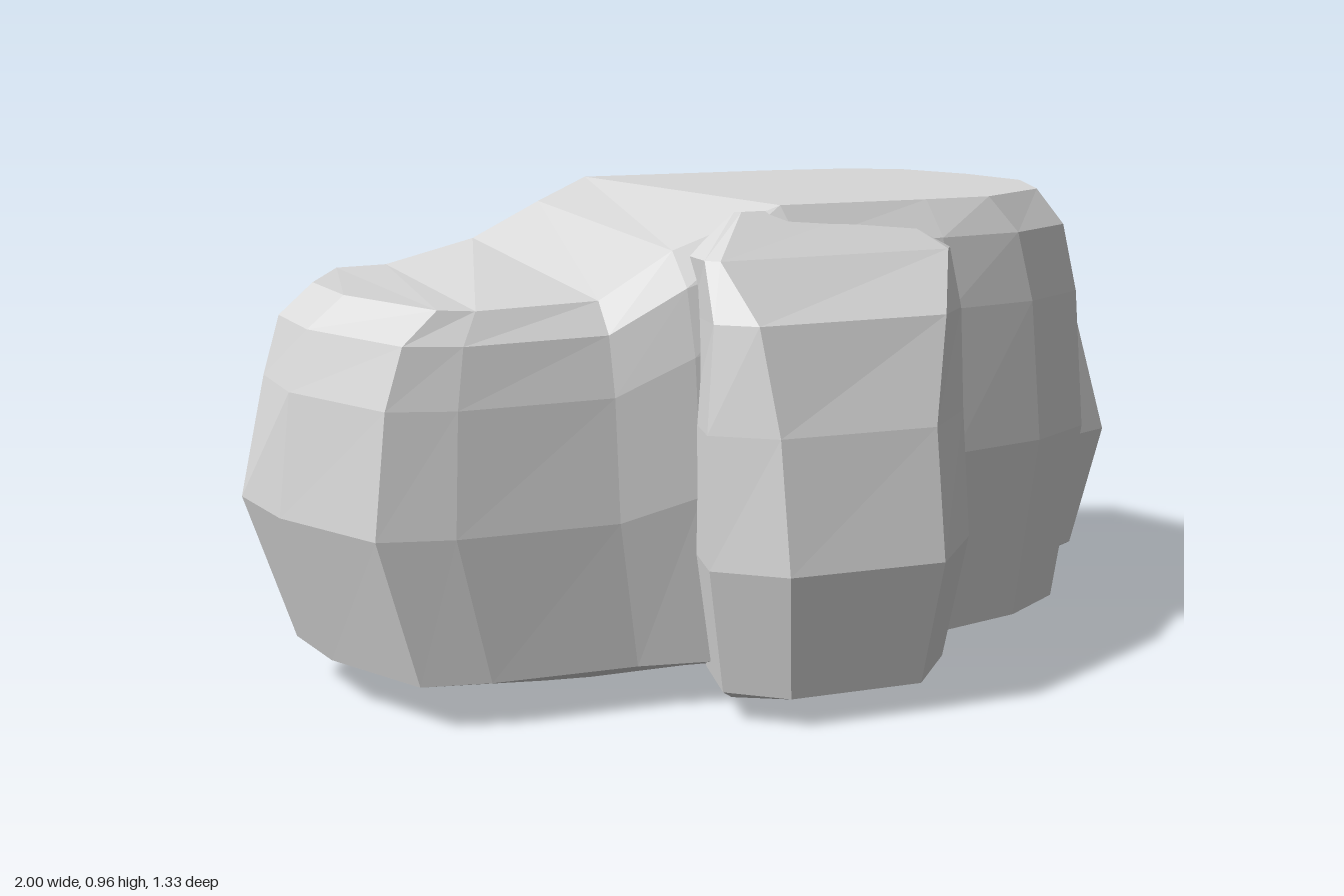
import * as THREE from 'three';

const mix = (a, b, t) => a + (b - a) * t;

// Flat-shaded skin through rings of [x, y, z] points, listed bottom to top
function loft(rings, closed, capped) {
  const pos = [];
  const quad = (a, b, c, d) => pos.push(...a, ...b, ...c, ...a, ...c, ...d);
  const n = rings[0].length;
  for (let r = 0; r < rings.length - 1; r++) {
    for (let i = 0; i < (closed ? n : n - 1); i++) {
      const j = (i + 1) % n;
      quad(rings[r][i], rings[r][j], rings[r + 1][j], rings[r + 1][i]);
    }
  }
  // Cap: strips joining each front point to its partner at the back
  if (capped) {
    const top = rings[rings.length - 1];
    for (let i = 0; i < n / 2 - 1; i++) quad(top[i], top[i + 1], top[n - 2 - i], top[n - 1 - i]);
  }
  const g = new THREE.BufferGeometry();
  g.setAttribute('position', new THREE.Float32BufferAttribute(pos, 3));
  g.computeVertexNormals();
  return g;
}

// Boulder columns, left to right: widest x, z, then top rim x, z, y
const front = [
  [-0.98, 0.04, -0.84, 0.04, 0.80],
  [-0.87, 0.28, -0.73, 0.25, 0.79],
  [-0.73, 0.32, -0.66, 0.26, 0.785],
  [-0.42, 0.36, -0.42, 0.27, 0.79],
  [-0.27, 0.40, -0.28, 0.30, 0.88],
  [-0.03, 0.42, -0.07, 0.34, 0.96],
  [0.27, 0.45, 0.25, 0.36, 0.96],
  [0.50, 0.42, 0.40, 0.36, 0.96],
  [0.67, 0.34, 0.60, 0.25, 0.96],
  [0.84, 0.04, 0.71, 0.04, 0.96],
];
const back = [
  [-1.00, -0.17, -0.84, -0.17, 0.80],
  [-0.88, -0.38, -0.73, -0.38, 0.80],
  [-0.80, -0.48, -0.62, -0.39, 0.80],
  [-0.42, -0.50, -0.42, -0.40, 0.845],
  [-0.27, -0.53, -0.27, -0.39, 0.92],
  [-0.08, -0.58, -0.11, -0.50, 0.96],
  [0.32, -0.67, 0.36, -0.48, 0.96],
  [0.57, -0.53, 0.55, -0.45, 0.96],
  [0.75, -0.38, 0.66, -0.37, 0.96],
  [0.84, -0.17, 0.71, -0.17, 0.96],
];

function boulderRings() {
  const cols = [...front, ...back.slice().reverse()];
  // Part of the way from the widest ring to the rim, for the front and the back
  const level = (tFront, tBack, h) => cols.map(([x, z, rx, rz, ry]) => {
    const t = z < 0 ? tBack : tFront;
    return [mix(x, rx, t), ry * h, mix(z, rz, t)];
  });
  return [
    cols.map(([x, z]) => [x * 0.64 + 0.06, 0.02, z * 0.55]),
    cols.map(([x, z]) => [x * 0.91, 0.09, z * (z < 0 ? 0.84 : 0.97)]),
    level(0, 0, 0.48),
    level(0.2, 0.34, 0.78),
    level(0.48, 0.56, 0.925),
    level(1, 1, 1),
  ];
}

// Bulge columns [low x, low z, high x, high z] scaled about an anchor;
// each level is [y, x scale, z scale, blend from low to high shape]
function bulgeRings(cols, ax, az, levels) {
  return levels.map(([y, sx, sz, t]) => cols.map(([x, z, hx, hz]) =>
    [mix(ax, mix(x, hx, t), sx), y, mix(az, mix(z, hz, t), sz)]));
}

export function createModel() {
  const stone = new THREE.MeshStandardMaterial({ color: 0xd8d8d8, flatShading: true, side: THREE.DoubleSide });
  const rock = new THREE.Group();
  rock.name = 'rock';
  const add = (name, geometry) => {
    const mesh = new THREE.Mesh(geometry, stone);
    mesh.name = name;
    rock.add(mesh);
  };

  add('boulder', loft(boulderRings(), true, true));

  // Buttress on the front face, its front face flaring out towards the top
  add('frontBulge', loft(bulgeRings([
    [-0.26, 0.33, -0.26, 0.33],
    [-0.31, 0.51, -0.27, 0.56],
    [-0.20, 0.62, -0.25, 0.63],
    [0.11, 0.66, 0.26, 0.66],
    [0.26, 0.52, 0.28, 0.60],
    [0.27, 0.36, 0.28, 0.36],
  ], 0, 0.3, [
    [0.02, 0.55, -0.15, 0], [0, 0.6, 0.3, 0], [0.06, 0.86, 0.86, 0], [0.31, 1, 1, 0],
    [0.56, 0.98, 0.87, 0.06], [0.76, 0.95, 0.69, 0.5], [0.87, 0.97, 0.38, 1], [0.95, 0.6, 0.1, 1],
  ])));

  // Knob on the left flank
  add('sideBulge', loft(bulgeRings([
    [0.74, 0.06, 0.72, 0.05],
    [0.90, 0.03, 0.88, 0.00],
    [1.00, 0.00, 0.93, -0.04],
    [1.00, -0.16, 0.93, -0.14],
    [0.90, -0.29, 0.87, -0.27],
    [0.75, -0.33, 0.75, -0.32],
  ], 0.62, -0.15, [
    [0.02, 0, 0.8, 0], [0.09, 0.79, 0.95, 0], [0.36, 1, 1, 0], [0.66, 1, 1, 1], [0.77, 0.52, 1, 1],
  ])));

  return rock;
}
